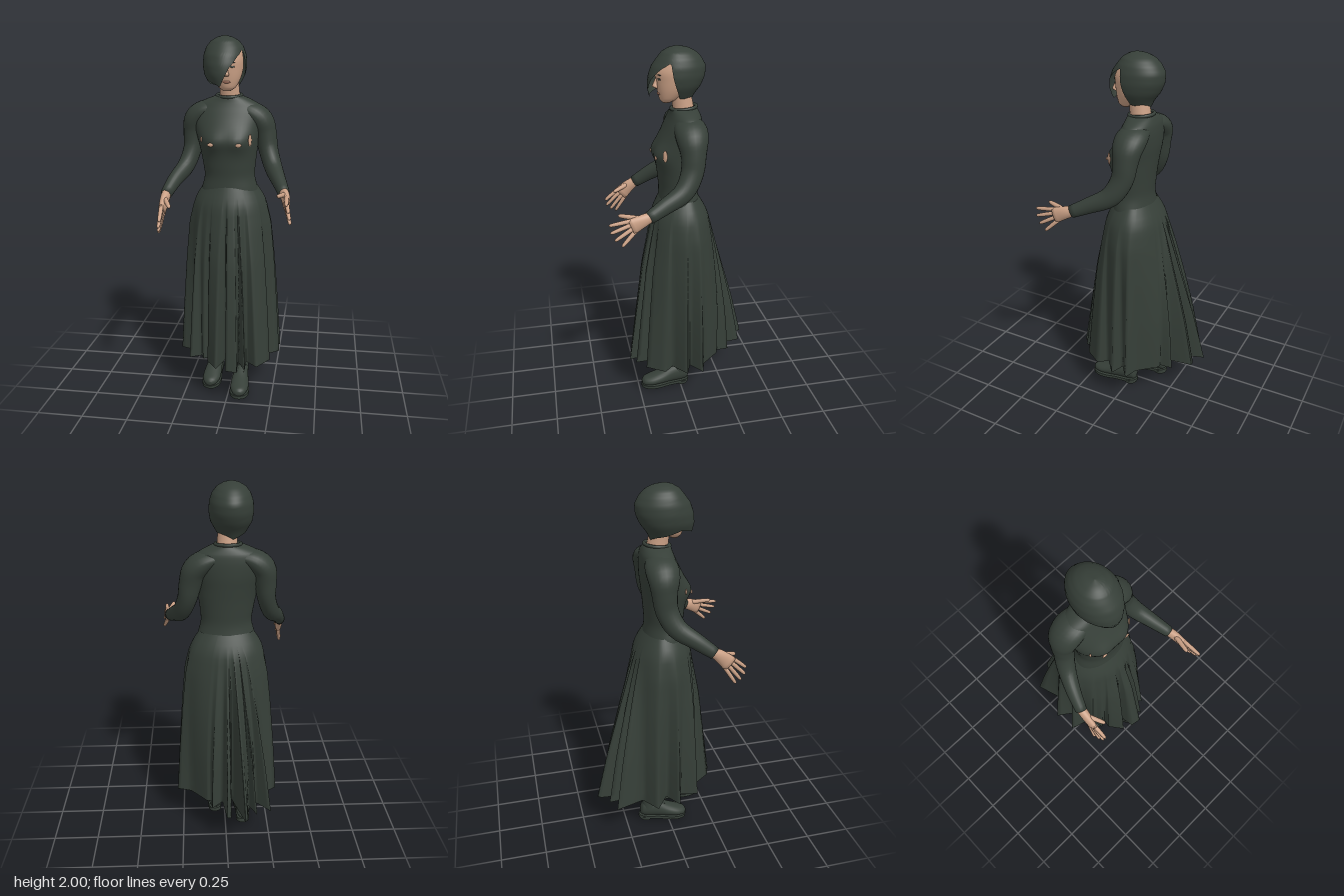
import * as THREE from 'three';

const mat = (name, color, side = THREE.FrontSide) => {
  const m = new THREE.MeshStandardMaterial({ color, side });
  m.name = name;
  return m;
};

// Closed-loop rows of points joined into a smooth skin, with optional end caps
function skin(rows, caps) {
  const n = rows[0].length, pts = rows.flat(), idx = [];
  for (let i = 0; i < rows.length - 1; i++) for (let j = 0; j < n; j++) {
    const a = i * n + j, b = i * n + (j + 1) % n;
    idx.push(a, a + n, b, b, a + n, b + n);
  }
  if (caps) [0, rows.length - 1].forEach((r, end) => {
    const mid = rows[r].reduce((s, p) => s.add(p), new THREE.Vector3()).divideScalar(n);
    const c = pts.push(mid) - 1;
    for (let j = 0; j < n; j++) {
      const a = r * n + j, b = r * n + (j + 1) % n;
      idx.push(c, end ? b : a, end ? a : b);
    }
  });
  const g = new THREE.BufferGeometry().setFromPoints(pts);
  g.setIndex(idx);
  g.computeVertexNormals();
  return g;
}

// Elliptical sections [x, y, z, halfA, halfB] swept through a smooth path
function sweep(rings, { n = 24, steps = 4, ref = [0, 0, 1], dir, shape = p => p } = {}) {
  const path = new THREE.CatmullRomCurve3(rings.map(r => new THREE.Vector3(r[0], r[1], r[2])));
  const size = new THREE.CatmullRomCurve3(rings.map(r => new THREE.Vector3(r[3], r[4], 0)), false, 'catmullrom');
  const R = new THREE.Vector3(...ref), total = (rings.length - 1) * steps, rows = [];
  for (let i = 0; i <= total; i++) {
    const t = i / total, c = path.getPoint(t), s = size.getPoint(t);
    const T = dir ? new THREE.Vector3(...dir) : path.getTangent(t);
    const U = T.clone().cross(R).normalize(), V = U.clone().cross(T);
    rows.push(Array.from({ length: n }, (_, j) => {
      const a = j / n * Math.PI * 2;
      return shape(c.clone().addScaledVector(U, s.x * Math.cos(a)).addScaledVector(V, s.y * Math.sin(a)));
    }));
  }
  return skin(rows, true);
}

// Linear lookup in a table whose first column is the key
function lookup(table, k) {
  const up = table[1][0] > table[0][0];
  let i = 0;
  while (i < table.length - 2 && (up ? k > table[i + 1][0] : k < table[i + 1][0])) i++;
  const [a, b] = [table[i], table[i + 1]];
  const t = THREE.MathUtils.clamp((k - a[0]) / (b[0] - a[0]), 0, 1);
  return a.map((v, c) => v + (b[c] - v) * t);
}

// Pleated skirt: oval at the waist, deep folds at the hem
function skirtGeometry() {
  const cx = -0.01, cz = -0.03;
  const outline = [ // y, half width, front z, back z
    [1.21, 0.145, 0.105, -0.11], [1.15, 0.185, 0.13, -0.145], [1.1, 0.207, 0.15, -0.17], [1.0, 0.234, 0.17, -0.2],
    [0.8, 0.255, 0.215, -0.26], [0.5, 0.28, 0.26, -0.35], [0.22, 0.3, 0.3, -0.42]];
  const hem = [[0.005, 0.29], [0.07, 0.3], [0.06, 0.17], [0.11, 0.27], [0.105, 0.16], [0.17, 0.22], [0.235, 0.12], [0.19, 0.07],
    [0.28, 0], [0.2, -0.03], [0.28, -0.09], [0.2, -0.115], [0.11, -0.215], [0.085, -0.22], [0.08, -0.29], [0.02, -0.23],
    [0, -0.38], [-0.025, -0.38], [-0.03, -0.2], [-0.1, -0.42], [-0.115, -0.4], [-0.125, -0.27], [-0.17, -0.36],
    [-0.165, -0.24], [-0.25, -0.33], [-0.2, -0.17], [-0.3, -0.1], [-0.2, -0.03], [-0.29, 0.03], [-0.2, 0.06],
    [-0.22, 0.155], [-0.155, 0.12], [-0.14, 0.16], [-0.1, 0.14], [-0.11, 0.19], [-0.05, 0.27], [-0.012, 0.15]];
  const edge = (y, dx, dz) => {
    const [, rx, zf, zb] = lookup(outline, y);
    return 1 / Math.hypot(dx / rx, dz / ((dz > 0 ? zf : zb) - cz));
  };
  const loop = hem.flatMap(([x, z], i) => [0, 0.25, 0.5, 0.75].map(t => {
    const q = hem[(i + 1) % hem.length];
    const dx = x + (q[0] - x) * t - cx, dz = z + (q[1] - z) * t - cz, d = Math.hypot(dx, dz);
    return { dx: dx / d, dz: dz / d, fold: d / edge(0.22, dx / d, dz / d) };
  }));
  const rows = [];
  for (let i = 0; i <= 24; i++) {
    const y = 1.21 - 0.99 * (i / 24) ** 1.2;
    const w = THREE.MathUtils.clamp((1.12 - y) / 0.9, 0, 1) ** 0.75;
    rows.push(loop.map(({ dx, dz, fold }) => {
      const r = edge(y, dx, dz) * (1 + (fold - 1) * w);
      return new THREE.Vector3(cx + dx * r, y, cz + dz * r);
    }));
  }
  return skin(rows, false);
}

// Bob hair: a shell whose lower edge leaves a slanted opening for the face
function hairGeometry() {
  const form = [ // y, half width, front z, back z
    [2, 0, 0, 0], [1.99, 0.04, 0.04, -0.06], [1.97, 0.075, 0.075, -0.1], [1.94, 0.098, 0.1, -0.13],
    [1.9, 0.112, 0.13, -0.152], [1.85, 0.116, 0.148, -0.149], [1.8, 0.108, 0.153, -0.127],
    [1.76, 0.086, 0.146, -0.095], [1.71, 0.056, 0.13, -0.07]];
  const lower = [ // angle from the front towards the left, lower edge
    [-Math.PI, 1.715], [-2.2, 1.74], [-1.6, 1.75], [-1.1, 1.775], [-0.4, 1.755], [-0.08, 1.742], [0.05, 1.765],
    [0.35, 1.835], [0.75, 1.892], [1.13, 1.925], [1.22, 1.91], [1.35, 1.84], [1.58, 1.745], [2.2, 1.735], [Math.PI, 1.715]];
  const rows = [];
  for (let i = 0; i <= 24; i++) rows.push(Array.from({ length: 120 }, (_, j) => {
    const a = -Math.PI + j / 120 * Math.PI * 2;
    const y = 2 - (2 - lookup(lower, a)[1]) * (i / 24) ** 1.7;
    const [, rx, zf, zb] = lookup(form, y), c = Math.cos(a);
    return new THREE.Vector3(-0.035 + rx * Math.sin(a), y, c > 0 ? zf * c : -zb * c);
  }));
  return skin(rows, false);
}

export function createModel() {
  const model = new THREE.Group();
  const cloth = mat('dark cloth', 0x363f38);
  const clothOpen = mat('dark cloth open', 0x363f38, THREE.DoubleSide);
  const flesh = mat('skin', 0xcaa085);
  const lipMat = mat('lips', 0xa06f5c);
  const add = (name, geo, m, parent = model) => {
    const mesh = new THREE.Mesh(geo, m);
    mesh.name = name;
    parent.add(mesh);
    return mesh;
  };
  const blob = (name, m, p, s, turn = 0) => {
    const mesh = add(name, new THREE.SphereGeometry(1, 24, 16), m);
    mesh.position.set(...p);
    mesh.scale.set(...s);
    mesh.rotation.y = turn;
  };
  const up = { dir: [0, 1, 0], n: 48 };

  // Dress: bodice swelling over the bust, with small openings, collar and skirt
  const bodice = [ // centre x, y, half width, front z, back z
    [-0.01, 1.12, 0.17, 0.11, -0.13], [-0.01, 1.2, 0.152, 0.106, -0.113], [-0.01, 1.26, 0.138, 0.103, -0.105],
    [-0.012, 1.32, 0.143, 0.108, -0.108], [-0.015, 1.4, 0.155, 0.113, -0.115], [-0.02, 1.46, 0.165, 0.113, -0.122],
    [-0.025, 1.53, 0.18, 0.095, -0.13], [-0.025, 1.6, 0.188, 0.063, -0.13], [-0.025, 1.645, 0.165, 0.043, -0.124],
    [-0.02, 1.673, 0.11, 0.035, -0.112], [-0.017, 1.69, 0.065, 0.032, -0.1]];
  const bust = p => {
    if (p.z > 0) for (const x of [-0.095, 0.055])
      p.z += 0.028 * Math.exp(-(((p.x - x) / 0.07) ** 2) - ((p.y - 1.455) / 0.055) ** 2) * Math.min(1, p.z / 0.04);
    return p;
  };
  add('bodice', sweep(bodice.map(([x, y, w, f, b]) => [x, y, (f + b) / 2, w, (f - b) / 2]), { ...up, shape: bust }), cloth);
  for (const x of [-0.095, 0.053]) blob('bodice opening', flesh, [x, 1.442, 0.129], [0.017, 0.01, 0.006]);
  blob('side opening', flesh, [0.11, 1.465, 0.089], [0.013, 0.032, 0.005], 0.95);
  blob('side opening', flesh, [-0.152, 1.465, 0.085], [0.006, 0.015, 0.005], -0.95);
  const collar = add('collar', new THREE.TorusGeometry(0.066, 0.009, 10, 36), cloth);
  collar.position.set(-0.018, 1.688, -0.036);
  collar.rotation.x = Math.PI / 2 + 0.1;
  add('skirt', skirtGeometry(), clothOpen);

  // Neck, head and face
  add('neck', sweep([[-0.012, 1.64, -0.04, 0.057, 0.06], [-0.014, 1.7, -0.03, 0.053, 0.055],
    [-0.018, 1.8, -0.015, 0.05, 0.052]], up), flesh);
  add('head', sweep([[-0.016, 1.717, 0.056, 0.018, 0.02], [-0.017, 1.735, 0.045, 0.045, 0.047],
    [-0.02, 1.78, 0.02, 0.07, 0.083], [-0.022, 1.83, 0, 0.083, 0.11], [-0.025, 1.88, 0, 0.086, 0.112],
    [-0.03, 1.93, -0.01, 0.078, 0.085], [-0.03, 1.955, -0.015, 0.04, 0.05]], up), flesh);
  add('nose', sweep([[-0.014, 1.85, 0.103, 0.007, 0.007], [-0.013, 1.82, 0.113, 0.01, 0.011],
    [-0.012, 1.803, 0.116, 0.015, 0.014], [-0.012, 1.793, 0.106, 0.009, 0.008]], { ...up, dir: [0, -1, 0], n: 16 }), flesh);
  blob('lips', lipMat, [-0.014, 1.765, 0.097], [0.021, 0.007, 0.007]);
  for (const s of [-1, 1]) {
    blob('eye', cloth, [-0.02 + s * 0.036, 1.842, 0.099], [0.014, 0.005, 0.004], s * 0.4);
    blob('brow', cloth, [-0.02 + s * 0.037, 1.864, 0.101], [0.019, 0.003, 0.004], s * 0.4);
  }
  add('hair', hairGeometry(), clothOpen);

  // Sleeves and hands; each side has its own pose
  const arms = [
    { sleeve: [[0.03, 1.625, -0.045, 0.07, 0.035], [0.105, 1.598, -0.045, 0.086, 0.058], [0.155, 1.555, -0.045, 0.082, 0.066],
      [0.178, 1.49, -0.045, 0.067, 0.061], [0.197, 1.4, -0.035, 0.06, 0.053], [0.23, 1.31, 0.015, 0.054, 0.048],
      [0.27, 1.255, 0.12, 0.043, 0.038], [0.302, 1.213, 0.21, 0.034, 0.03]],
    palm: [[0.296, 1.22, 0.19, 0.026, 0.024], [0.31, 1.205, 0.24, 0.034, 0.024], [0.322, 1.18, 0.305, 0.044, 0.018]],
    tips: [[0.328, 1.2, 0.415], [0.338, 1.162, 0.41], [0.343, 1.122, 0.39], [0.345, 1.088, 0.355]],
    thumb: [0.282, 1.232, 0.362] },
    { sleeve: [[-0.08, 1.63, -0.045, 0.07, 0.035], [-0.15, 1.605, -0.045, 0.086, 0.058], [-0.2, 1.56, -0.045, 0.082, 0.066],
      [-0.213, 1.49, -0.045, 0.067, 0.06], [-0.222, 1.4, -0.035, 0.06, 0.05], [-0.25, 1.31, 0.01, 0.054, 0.046],
      [-0.295, 1.245, 0.105, 0.043, 0.038], [-0.325, 1.185, 0.19, 0.034, 0.03]],
    palm: [[-0.322, 1.195, 0.175, 0.026, 0.024], [-0.325, 1.165, 0.22, 0.034, 0.024], [-0.328, 1.115, 0.275, 0.044, 0.018]],
    tips: [[-0.322, 1.08, 0.368], [-0.33, 1.045, 0.362], [-0.336, 1.018, 0.338], [-0.342, 1.003, 0.308]],
    thumb: [-0.278, 1.145, 0.32] }];
  const side = { ref: [1, 0, 0] };
  for (const { sleeve, palm, tips, thumb } of arms) {
    add('sleeve', sweep(sleeve, side), cloth);
    const hand = new THREE.Group();
    hand.name = 'hand';
    model.add(hand);
    add('palm', sweep(palm, side), flesh, hand);
    const K = new THREE.Vector3(...palm[2]), W = new THREE.Vector3(...palm[1]);
    const T = K.clone().sub(W).normalize();
    const across = T.clone().cross(new THREE.Vector3(1, 0, 0)).normalize();
    const finger = (name, root, tip, r) => {
      const at = t => root.clone().lerp(tip, t).toArray();
      add(name, sweep([[...at(0), r, r], [...at(0.5), r * 0.95, r * 0.95], [...at(0.92), r * 0.75, r * 0.75],
        [...at(1), r * 0.3, r * 0.3]], { ...side, n: 10, steps: 2 }), flesh, hand);
    };
    tips.forEach((p, i) => finger('finger', K.clone().addScaledVector(across, 0.031 - i * 0.0205).addScaledVector(T, -0.012),
      new THREE.Vector3(...p), 0.0115));
    finger('thumb', W.clone().addScaledVector(across, 0.012), new THREE.Vector3(...thumb), 0.0135);
  }

  // Legs and shoes, the left one a step ahead
  const soleShape = new THREE.Shape();
  soleShape.moveTo(0, 0.062);
  soleShape.bezierCurveTo(0.055, 0.062, 0.03, -0.03, 0.05, -0.1);
  soleShape.bezierCurveTo(0.068, -0.18, 0.04, -0.228, 0, -0.228);
  soleShape.bezierCurveTo(-0.04, -0.228, -0.068, -0.18, -0.05, -0.1);
  soleShape.bezierCurveTo(-0.03, -0.03, -0.055, 0.062, 0, 0.062);
  for (const [x, y, z, pitch, turn] of [[0.06, 0.022, 0.01, 0, 0.05], [-0.105, 0.026, -0.115, 0.1, -0.05]]) {
    add('leg', sweep([[x, y + 0.06, z, 0.035, 0.038], [x, 0.2, z - 0.005, 0.036, 0.04], [x, 0.36, z - 0.015, 0.05, 0.056],
      [x * 0.95, 0.6, z * 0.7, 0.058, 0.062], [x * 0.95, 0.95, z * 0.3 - 0.01, 0.075, 0.085]], up), cloth);
    const shoe = new THREE.Group();
    shoe.name = 'shoe';
    shoe.position.set(x, y, z);
    shoe.rotation.set(pitch, turn, 0);
    model.add(shoe);
    const sole = add('sole', new THREE.ExtrudeGeometry(soleShape, { depth: 0.018, bevelEnabled: false, curveSegments: 10 }), cloth, shoe);
    sole.rotation.x = -Math.PI / 2;
    add('heel', new THREE.CylinderGeometry(0.04, 0.038, 0.02, 24), cloth, shoe).position.set(0, 0, -0.018);
    add('upper', sweep([[0, 0.05, -0.056, 0.015, 0.025], [0, 0.06, -0.045, 0.033, 0.045], [0, 0.068, -0.01, 0.04, 0.06],
      [0, 0.062, 0.05, 0.043, 0.055], [0, 0.048, 0.11, 0.05, 0.041], [0, 0.038, 0.17, 0.05, 0.031],
      [0, 0.033, 0.21, 0.034, 0.024], [0, 0.03, 0.224, 0.014, 0.012]], { ref: [0, 1, 0], dir: [0, 0, 1] }), cloth, shoe);
    add('ankle cuff', new THREE.CylinderGeometry(0.04, 0.042, 0.06, 24), cloth, shoe).position.set(0, 0.1, -0.008);
    for (let i = 0; i < 3; i++) {
      const lace = add('lace', new THREE.CapsuleGeometry(0.004, 0.035, 4, 8), cloth, shoe);
      lace.position.set(0, 0.118 - i * 0.011, 0.04 + i * 0.022);
      lace.rotation.z = Math.PI / 2;
    }
  }
  return model;
}
